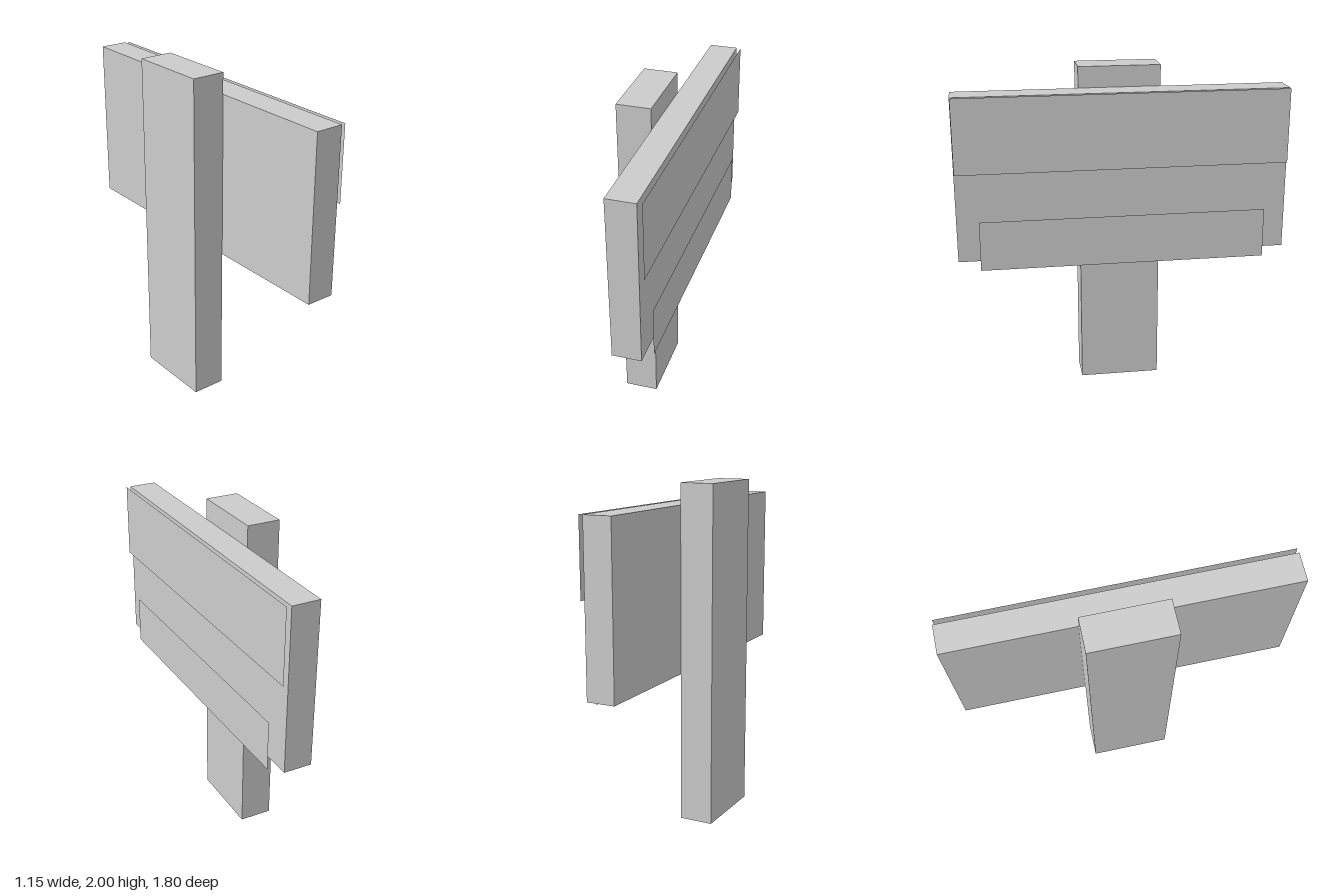
import * as THREE from 'three';

export function createModel() {
  const model = new THREE.Group();
  model.name = 'signpost';
  const grey = new THREE.MeshStandardMaterial({ color: 0xcccccc, side: THREE.DoubleSide });
  grey.name = 'grey';

  // The whole sign is turned 30 degrees about the vertical
  const sign = new THREE.Group();
  sign.name = 'sign';
  sign.rotation.y = Math.PI / 6;
  model.add(sign);

  const add = (name, geometry, x, bottom, top) => {
    const mesh = new THREE.Mesh(geometry, grey);
    mesh.name = name;
    mesh.position.set(x, (bottom + top) / 2, 0);
    sign.add(mesh);
  };

  // Post, hollow at the foot: the box's bottom face is left out
  const post = new THREE.BoxGeometry(0.2, 2, 0.489);
  const index = Array.from(post.index.array);
  index.splice(18, 6);
  post.setIndex(index);
  post.clearGroups();
  add('post', post, -0.198, 0, 2);

  // Board fixed to the side of the post
  add('board', new THREE.BoxGeometry(0.168, 0.98, 1.97), -0.013, 0.895, 1.875);

  // Thin panels floating just off the board's face
  const panel = (name, length, bottom, top) =>
    add(name, new THREE.PlaneGeometry(length, top - bottom).rotateY(Math.PI / 2), 0.097, bottom, top);
  panel('upperPanel', 1.964, 1.43, 1.875);
  panel('lowerPanel', 1.71, 0.843, 1.143);

  return model;
}
